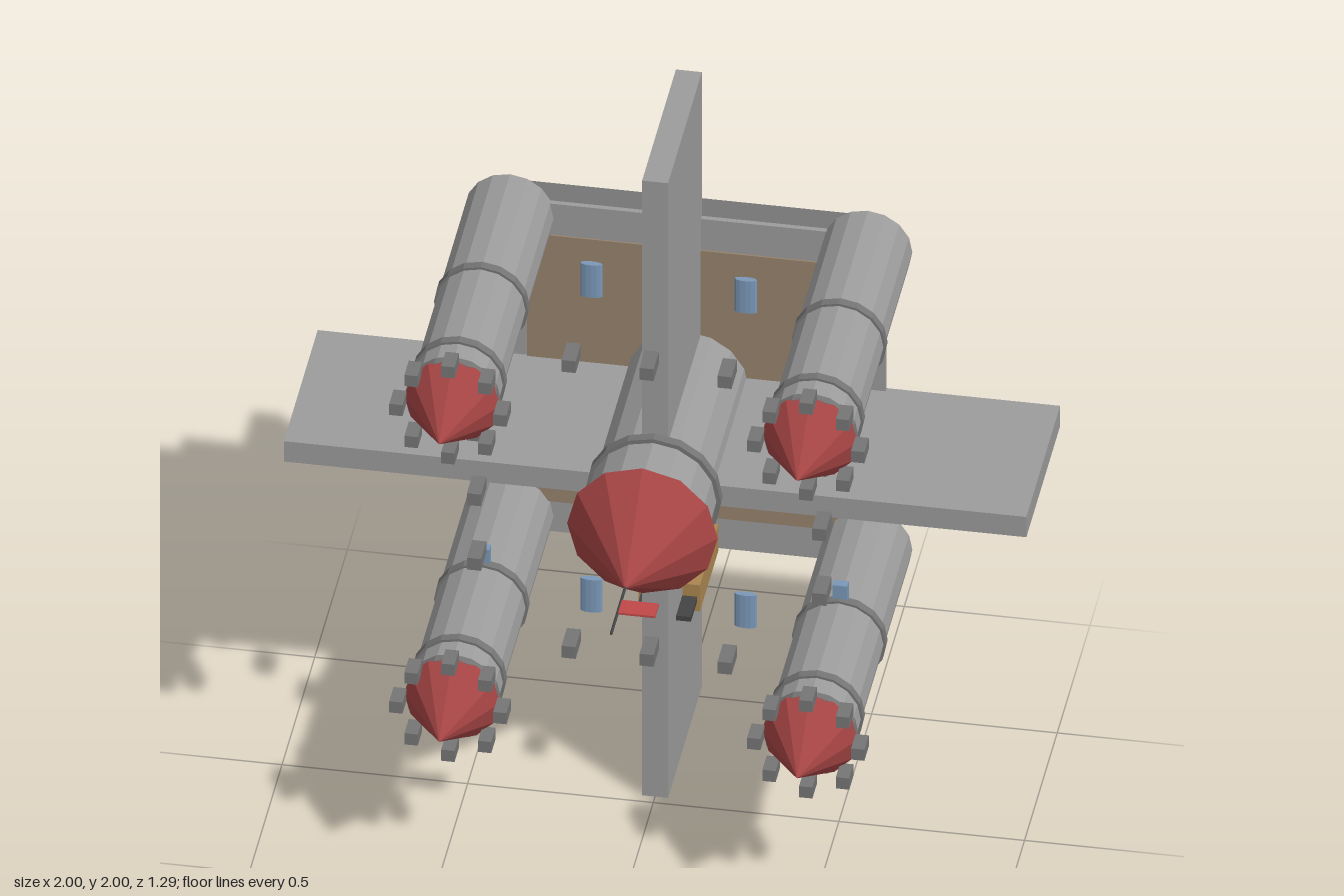
import * as THREE from 'three';

const mat = (color) => new THREE.MeshStandardMaterial({ color, flatShading: true });
const STONE = mat(0x9c9c9c), DARK = mat(0x757575), IRON = mat(0x444444);
const RED = mat(0xa54444), FLAG = mat(0xc04848), BROWN = mat(0x96826c), GOLD = mat(0xaa8650), BLUE = mat(0x7a98b8);

export function createModel() {
  const model = new THREE.Group();
  model.name = 'fortress';

  const add = (name, geometry, material, x, y, z, parent = model) => {
    const mesh = new THREE.Mesh(geometry, material);
    mesh.name = name;
    mesh.position.set(x, y, z);
    parent.add(mesh);
    return mesh;
  };
  // box given by its centre in x and y and its range in z
  const slab = (name, material, w, h, z0, z1, x = 0, y = 1, parent = model) =>
    add(name, new THREE.BoxGeometry(w, h, z1 - z0), material, x, y, (z0 + z1) / 2, parent);
  // cylinder or cone along z
  const drum = (name, material, r0, r1, z0, z1, sides, x = 0, y = 1, parent = model) =>
    add(name, new THREE.CylinderGeometry(r1, r0, z1 - z0, sides).rotateX(Math.PI / 2),
      material, x, y, (z0 + z1) / 2, parent);

  // foundation, courtyard floor and inner ground
  slab('foundation', DARK, 1.03, 1.035, -0.645, -0.545);
  slab('courtyardFloor', STONE, 1.065, 1.065, -0.545, -0.53);
  slab('innerGround', BROWN, 0.865, 0.865, -0.53, -0.525);

  // crossing walls
  slab('wallAcross', STONE, 2, 0.066, -0.545, -0.028);
  slab('wallUpright', STONE, 0.07, 2, -0.545, -0.028);

  // central keep with floating roof
  const keep = new THREE.Group();
  keep.name = 'keep';
  model.add(keep);
  drum('keepBody', STONE, 0.165, 0.165, -0.53, -0.028, 16, 0, 1, keep);
  drum('keepRing', DARK, 0.182, 0.182, -0.028, 0, 16, 0, 1, keep);
  drum('keepTop', STONE, 0.17, 0.17, 0, 0.147, 16, 0, 1, keep);
  drum('keepRoof', RED, 0.203, 0, 0.165, 0.435, 12, 0, 1, keep);
  drum('flagPole', IRON, 0.004, 0.004, 0.42, 0.645, 6, 0, 1, keep);
  slab('flag', FLAG, 0.1, 0.006, 0.49, 0.55, 0.052, 1, keep);

  // four corner towers
  for (const sx of [-1, 1]) for (const sy of [-1, 1]) {
    const tower = new THREE.Group();
    tower.name = 'cornerTower';
    tower.position.set(sx * 0.482, 1 + sy * 0.484, 0);
    model.add(tower);
    drum('towerBody', STONE, 0.12, 0.12, -0.545, 0.335, 16, 0, 0, tower);
    for (const z of [-0.115, 0.231, 0.327])
      drum('towerRing', DARK, 0.127, 0.127, z - 0.013, z + 0.013, 16, 0, 0, tower);
    drum('towerRoof', RED, 0.13, 0, 0.337, 0.54, 12, 0, 0, tower);
    for (let i = 0; i < 8; i++) {
      const a = i * Math.PI / 4;
      slab('towerMerlon', DARK, 0.036, 0.036, 0.338, 0.405,
        Math.cos(a) * 0.14, Math.sin(a) * 0.14, tower);
    }
    slab('towerWindow', BLUE, 0.04, 0.06, -0.14, -0.115, 0, -sy * 0.138, tower);
    // courtyard windows, rounded at the sides
    add('wallWindow', new THREE.CylinderGeometry(0.03, 0.03, 0.105, 12).scale(1, 1, 0.33),
      BLUE, sx * 0.208, 1 + sy * 0.512, -0.235);
  }

  // merlons around the four sides, three to a side
  for (const s of [-1, 1]) for (const t of [-0.21, 0, 0.21]) {
    slab('merlon', DARK, 0.038, 0.038, 0.02, 0.103, s * 0.465, 1 + t);
    slab('merlon', DARK, 0.038, 0.038, 0.02, 0.103, t, 1 + s * 0.465);
  }

  // gatehouse with two flat drawbars
  slab('gate', GOLD, 0.165, 0.085, -0.53, -0.245, 0, 0.503);
  for (const s of [-1, 1])
    slab('gateBar', IRON, 0.04, 0.015, -0.245, -0.15, s * 0.055, 0.5);

  return model;
}
